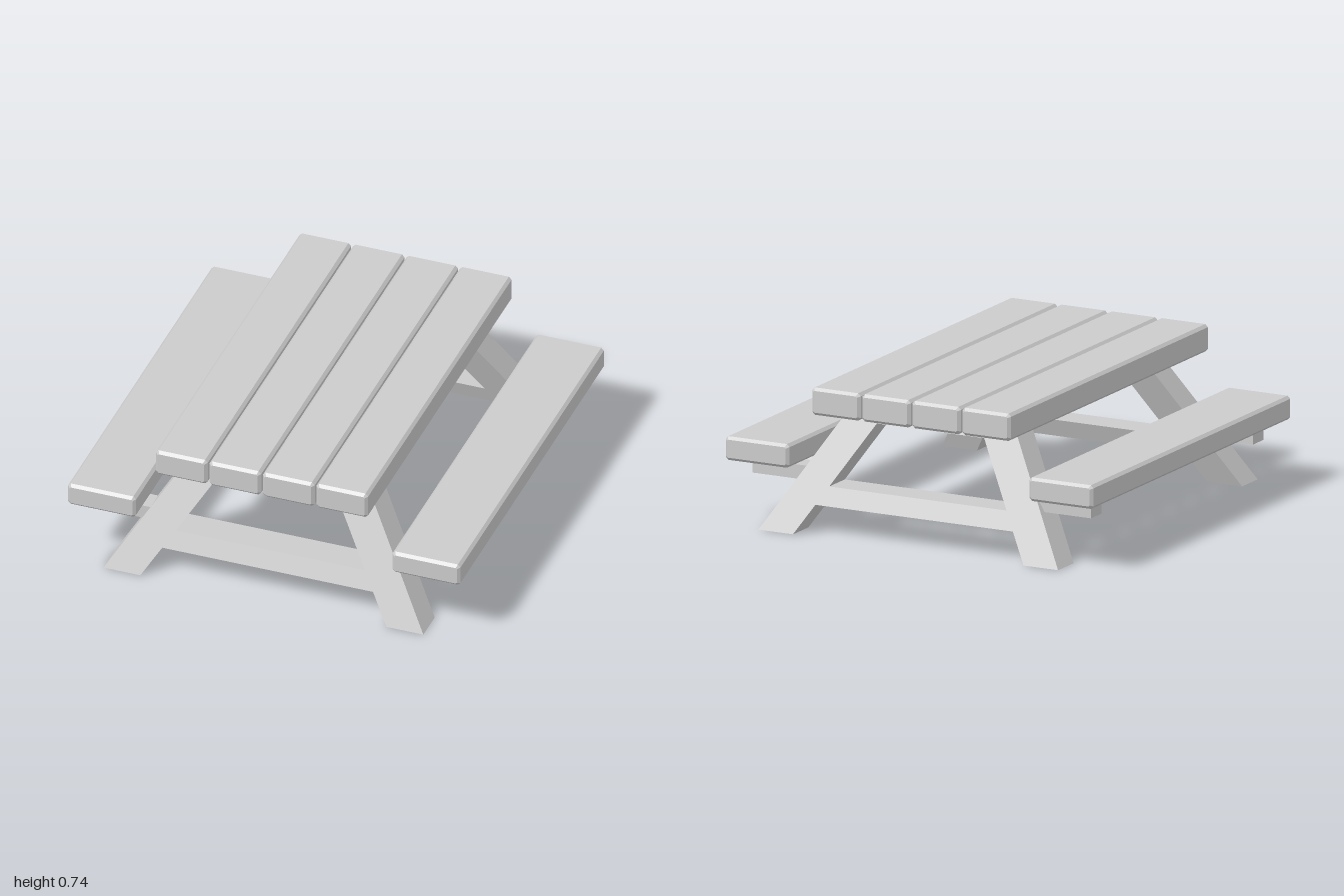
import * as THREE from 'three';

const grey = new THREE.MeshStandardMaterial({ color: 0xcccccc, flatShading: true });

function addMesh(parent, geometry, name) {
  const mesh = new THREE.Mesh(geometry, grey);
  mesh.name = name;
  parent.add(mesh);
  return mesh;
}

const polygon = (points) => new THREE.Shape(points.map(([x, y]) => new THREE.Vector2(x, y)));

// Plank running along z with every edge chamfered
function plank(x0, x1, y0, y1, length, c = 0.014) {
  const a = x0 + c, b = x1 - c, d = y0 + c, e = y1 - c;
  const shape = polygon([[a, y0], [b, y0], [x1, d], [x1, e], [b, y1], [a, y1], [x0, e], [x0, d]]);
  const geometry = new THREE.ExtrudeGeometry(shape, {
    depth: length - 2 * c, bevelEnabled: true, bevelSegments: 1,
    bevelSize: c, bevelThickness: c, bevelOffset: -c,
  });
  return geometry.translate(0, 0, -length / 2 + c);
}

// Splayed A-frame: two legs, top rail and low stretcher, leaning inward with height
function legFrameGeometry() {
  const height = 0.58, depth = 0.155, footZ = 0.84, lean = 0.24;
  const shape = polygon([
    [-0.815, 0], [-0.627, 0], [-0.537, 0.143], [0.537, 0.143],
    [0.627, 0], [0.815, 0], [0.457, height], [-0.457, height],
  ]);
  shape.holes.push(polygon([[-0.482, 0.232], [-0.292, 0.537], [0.292, 0.537], [0.482, 0.232]]));
  const geometry = new THREE.ExtrudeGeometry(shape, { depth, bevelEnabled: false });
  const pos = geometry.attributes.position;
  for (let i = 0; i < pos.count; i++) {
    pos.setZ(i, pos.getZ(i) + footZ - lean * pos.getY(i) / height);
  }
  geometry.computeVertexNormals();
  return geometry;
}

export function createModel() {
  const model = new THREE.Group();
  model.name = 'picnicTable';
  const length = 1.99;

  // Table top
  const top = new THREE.Group();
  top.name = 'tableTop';
  model.add(top);
  for (let i = 0; i < 4; i++) {
    const x = -0.552 + i * 0.2725;
    addMesh(top, plank(x, x + 0.264, 0.6, 0.735, length), `topPlank${i + 1}`);
  }

  // Bench seats
  addMesh(model, plank(0.653, 1, 0.32, 0.437, length), 'leftSeat');
  addMesh(model, plank(-1, -0.653, 0.32, 0.437, length), 'rightSeat');

  // Leg frames with the seat supports, front and back
  for (const end of ['front', 'back']) {
    const frame = new THREE.Group();
    frame.name = `${end}Frame`;
    addMesh(frame, legFrameGeometry(), 'legFrame');
    for (const side of [-1, 1]) {
      const support = addMesh(frame, new THREE.BoxGeometry(0.34, 0.07, 0.105), 'seatSupport');
      support.position.set(side * 0.75, 0.273, 0.807);
    }
    if (end === 'back') frame.rotation.y = Math.PI;
    model.add(frame);
  }
  return model;
}
